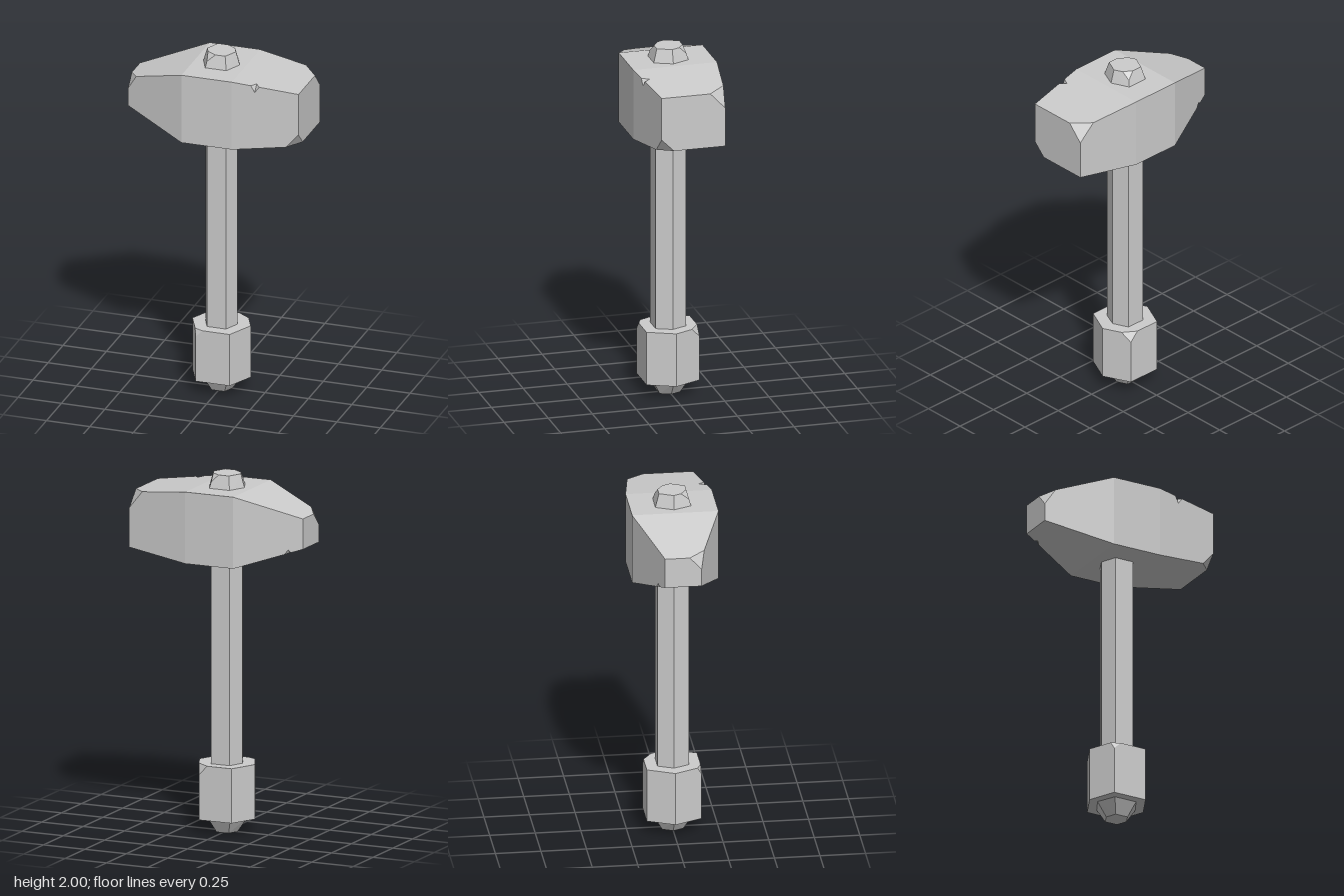
import * as THREE from 'three';
import { ConvexGeometry } from 'three/addons/geometries/ConvexGeometry.js';

const V = (x, y, z) => new THREE.Vector3(x, y, z);
const material = new THREE.MeshStandardMaterial({ color: 0xcccccc, flatShading: true });

function addPart(group, name, geometry) {
  const mesh = new THREE.Mesh(geometry, material);
  mesh.name = name;
  group.add(mesh);
}

// Six corners: points at +-rx, flat sides of half width h at z = +-d
const hexRing = (y, [rx, h, d]) =>
  [V(rx, y, 0), V(h, y, d), V(-h, y, d), V(-rx, y, 0), V(-h, y, -d), V(h, y, -d)];

// Hexagonal block; chips = { topCorner: [towards previous, towards next, downwards] } as fractions
function hexBlock(y0, lower, y1, upper, chips = {}) {
  const bottom = hexRing(y0, lower), top = hexRing(y1, upper);
  const points = [...bottom];
  top.forEach((p, i) => {
    const c = chips[i];
    if (!c) return points.push(p);
    points.push(p.clone().lerp(top[(i + 5) % 6], c[0]),
      p.clone().lerp(top[(i + 1) % 6], c[1]), p.clone().lerp(bottom[i], c[2]));
  });
  return new ConvexGeometry(points);
}

// Head sections along x: half height and half depth about the centre line
const MID = 1.725;
const SECTIONS = [[-0.505, 0.085, 0.1], [-0.15, 0.2, 0.237], [0.14, 0.2, 0.237], [0.505, 0.155, 0.18]];
function sizeAt(x, k) {
  let i = 0;
  while (i < 2 && x > SECTIONS[i + 1][0]) i++;
  const a = SECTIONS[i], b = SECTIONS[i + 1];
  return THREE.MathUtils.mapLinear(x, a[0], b[0], a[k], b[k]);
}
// Point at signed fractions of the half height and half depth
const at = (x, fy, fz) => V(x, MID + fy * sizeAt(x, 1), fz * sizeAt(x, 2));

function headGeometry() {
  const positions = [], centre = V(0, MID, 0);
  // Flat polygon, triangulated with one axis dropped and turned outwards
  const face = (points, u, v) => {
    const flat = points.map(p => new THREE.Vector2(p[u], p[v]));
    for (const t of THREE.ShapeUtils.triangulateShape(flat, [])) {
      const [a, b, c] = t.map(i => points[i]);
      const n = b.clone().sub(a).cross(c.clone().sub(a));
      const out = n.dot(a.clone().sub(centre)) > 0 ? [a, b, c] : [a, c, b];
      out.forEach(p => positions.push(p.x, p.y, p.z));
    }
  };

  // Broken corners at the ends: end x, signs, edge x, end-face y and z fractions
  const chips = [
    { x: 0.505, sy: 1, sz: -1, ex: 0.42, fy: 0.42, fz: 0.53 },
    { x: 0.505, sy: -1, sz: 1, ex: 0.435, fy: 0.55, fz: 0.61 },
    { x: -0.505, sy: 1, sz: 1, ex: -0.45, fy: 0.18, fz: 0.35 },
  ];
  // Small nicks in the long edges: start, middle, end and how far in they reach
  const nicks = [
    { sy: 1, sz: 1, x: [0.245, 0.265, 0.29], fy: 0.8, fz: 0.83 },
    { sy: -1, sz: -1, x: [-0.445, -0.43, -0.41], fy: 0.82, fz: 0.82 },
  ];
  const chipAt = (x, sy, sz) => chips.find(c => c.x === x && c.sy === sy && c.sz === sz);
  const chipPoints = c => ({
    edge: at(c.ex, c.sy, c.sz),
    vertical: at(c.x, c.sy * c.fy, c.sz),
    across: at(c.x, c.sy, c.sz * c.fz),
  });

  // One long edge of a panel, from x0 to x1, as seen by a level or an upright panel
  const edge = (x0, x1, sy, sz, level) => {
    const end = x => {
      const c = chipAt(x, sy, sz);
      if (!c) return [at(x, sy, sz)];
      const p = chipPoints(c);
      return [level ? p.across : p.vertical, p.edge];
    };
    const middle = nicks.filter(n => n.sy === sy && n.sz === sz && n.x[0] > x0 && n.x[2] < x1)
      .flatMap(n => [at(n.x[0], sy, sz),
        level ? at(n.x[1], sy, sz * n.fz) : at(n.x[1], sy * n.fy, sz), at(n.x[2], sy, sz)]);
    return [...end(x0), ...middle, ...end(x1).reverse()];
  };

  // Top, bottom, front and back panels
  for (let i = 0; i < 3; i++) {
    const x0 = SECTIONS[i][0], x1 = SECTIONS[i + 1][0];
    for (const s of [-1, 1]) {
      face([...edge(x0, x1, s, -1, true), ...edge(x0, x1, s, 1, true).reverse()], 'x', 'z');
      face([...edge(x0, x1, -1, s, false), ...edge(x0, x1, 1, s, false).reverse()], 'x', 'y');
    }
  }
  // Striking ends
  for (const x of [-0.505, 0.505]) {
    const outline = [[-1, -1], [-1, 1], [1, 1], [1, -1]].flatMap(([sy, sz]) => {
      const c = chipAt(x, sy, sz);
      if (!c) return [at(x, sy, sz)];
      const p = chipPoints(c);
      return sy === sz ? [p.vertical, p.across] : [p.across, p.vertical];
    });
    face(outline, 'z', 'y');
  }
  // Broken surfaces of the chips and nicks
  for (const c of chips) {
    const p = chipPoints(c);
    face([p.edge, p.vertical, p.across], 'z', 'y');
  }
  for (const n of nicks) {
    const level = at(n.x[1], n.sy, n.sz * n.fz), upright = at(n.x[1], n.sy * n.fy, n.sz);
    // the two walls face each other across the nick
    const nick = (x, dir) => {
      const a = at(x, n.sy, n.sz);
      const normal = level.clone().sub(a).cross(upright.clone().sub(a));
      const tri = normal.x * dir > 0 ? [a, level, upright] : [a, upright, level];
      tri.forEach(p => positions.push(p.x, p.y, p.z));
    };
    nick(n.x[0], 1);
    nick(n.x[2], -1);
  }

  const geometry = new THREE.BufferGeometry();
  geometry.setAttribute('position', new THREE.Float32BufferAttribute(positions, 3));
  geometry.computeVertexNormals();
  return geometry;
}

export function createModel() {
  const group = new THREE.Group();
  group.name = 'hammer';
  addPart(group, 'head', headGeometry());

  const shaft = [0.093, 0.055, 0.086];
  addPart(group, 'handle', hexBlock(0.3, shaft, 1.8, shaft));

  // Handle end poking out above the head
  addPart(group, 'handleTop', hexBlock(1.9, [0.112, 0.065, 0.105], 2, [0.083, 0.047, 0.077],
    { 2: [0.4, 0.45, 0.4], 5: [0.35, 0.4, 0.4] }));

  // Grip end with its tapered tip
  const grip = [0.168, 0.098, 0.15];
  addPart(group, 'pommel', hexBlock(0.08, grip, 0.385, grip,
    { 2: [0.2, 0.15, 0.13], 5: [0.25, 0.33, 0.17] }));
  addPart(group, 'pommelTip', hexBlock(0, [0.063, 0.037, 0.058], 0.08, [0.118, 0.066, 0.101]));
  return group;
}
